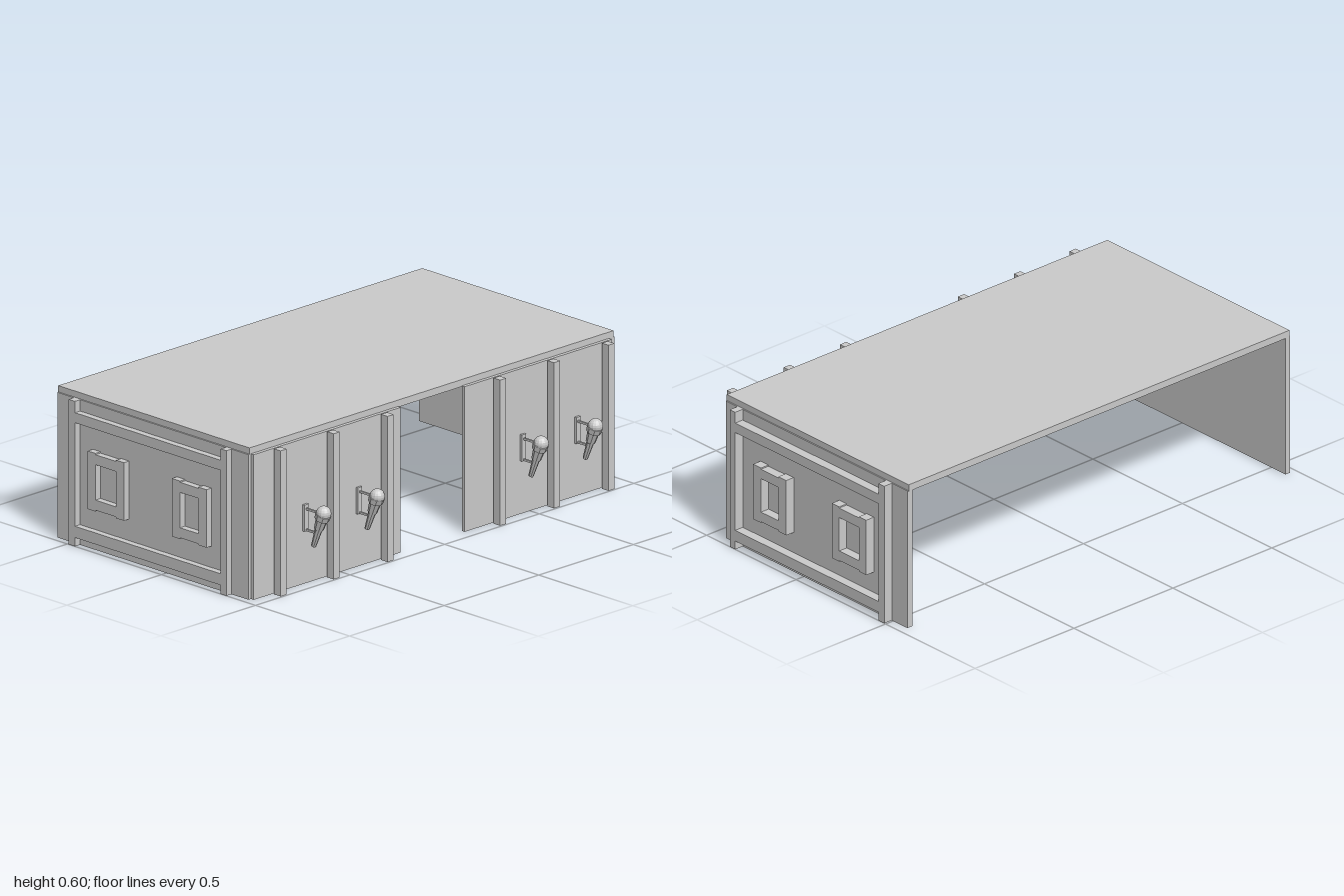
import * as THREE from 'three';

const material = new THREE.MeshStandardMaterial({ color: 0xcccccc, flatShading: true });

// Box given by its min/max extents on each axis
function box(parent, name, x0, x1, y0, y1, z0, z1) {
  const mesh = new THREE.Mesh(new THREE.BoxGeometry(x1 - x0, y1 - y0, z1 - z0), material);
  mesh.name = name;
  mesh.position.set((x0 + x1) / 2, (y0 + y1) / 2, (z0 + z1) / 2);
  parent.add(mesh);
  return mesh;
}

// Rectangular frame built from two uprights and two slightly shorter crossbars
function windowFrame(parent, x0, x1, z0, z1, bar) {
  const frame = new THREE.Group();
  frame.name = 'windowFrame';
  box(frame, 'frameUpright', x0, x1, 0.165, 0.395, z0, z0 + bar);
  box(frame, 'frameUpright', x0, x1, 0.165, 0.395, z1 - bar, z1);
  box(frame, 'frameCrossbar', x0, x1, 0.35, 0.39, z0 + bar, z1 - bar);
  box(frame, 'frameCrossbar', x0, x1, 0.17, 0.21, z0 + bar, z1 - bar);
  parent.add(frame);
}

// End wall with posts, rails and two frames; inner/outer are signed x values
function endWall(name, inner, outer, tip, frontShift) {
  const wall = new THREE.Group();
  wall.name = name;
  const span = (a, b) => [Math.min(a, b), Math.max(a, b)];
  const [w0, w1] = span(inner, outer);
  const [d0, d1] = span(outer, tip);
  box(wall, 'endPanel', w0, w1, 0, 0.575, -0.58, 0.435);
  const front = 0.34 - frontShift;
  box(wall, 'sidePost', d0, d1, 0, 0.575, -0.493, -0.46);
  box(wall, 'sidePost', d0, d1, 0, 0.575, front, front + 0.03);
  for (const [y0, y1] of [[0.035, 0.08], [0.49, 0.53]]) {
    box(wall, 'sideRail', d0, d1, y0, y1, -0.46, front);
  }
  windowFrame(wall, d0, d1, 0.055, 0.24, 0.044);
  windowFrame(wall, d0, d1, -0.392, -0.2, 0.041);
  return wall;
}

// Wall torch leaning outwards, on a small bracket
function torch(x) {
  const group = new THREE.Group();
  group.name = 'torch';
  group.position.x = x;
  box(group, 'bracketPlate', -0.011, 0.011, 0.21, 0.315, 0.445, 0.46);
  for (const [y, z] of [[0.298, 0.545], [0.215, 0.515]]) {
    box(group, 'bracketRod', -0.004, 0.004, y - 0.004, y + 0.004, 0.455, z);
  }

  // Tapered, stepped handle from the lower tip up to the collar
  const bottom = new THREE.Vector3(0, 0.16, 0.497);
  const top = new THREE.Vector3(0, 0.302, 0.551);
  const length = bottom.distanceTo(top);
  const profile = [
    [0, 0], [0.01, 0], [0.015, 0.5], [0.019, 0.52], [0.023, 0.8],
    [0.029, 0.82], [0.031, 0.97], [0.024, 1], [0, 1],
  ].map(([r, t]) => new THREE.Vector2(r, t * length));
  const handle = new THREE.Mesh(new THREE.LatheGeometry(profile, 8), material);
  handle.name = 'torchHandle';
  handle.position.copy(bottom);
  handle.quaternion.setFromUnitVectors(
    new THREE.Vector3(0, 1, 0), top.clone().sub(bottom).normalize());
  group.add(handle);

  const head = new THREE.Mesh(new THREE.SphereGeometry(0.029, 14, 10), material);
  head.name = 'torchHead';
  head.position.copy(top);
  group.add(head);
  return group;
}

// Front panel with its row of upright battens and two torches
function frontPanel(name, x0, x1, battens, torches) {
  const panel = new THREE.Group();
  panel.name = name;
  box(panel, 'frontBoard', x0, x1, 0, 0.575, 0.435, 0.45);
  for (const x of battens) box(panel, 'batten', x - 0.016, x + 0.016, 0, 0.577, 0.459, 0.494);
  for (const x of torches) panel.add(torch(x));
  return panel;
}

export function createModel() {
  const model = new THREE.Group();
  model.name = 'counter';

  box(model, 'tabletop', -0.967, 0.957, 0.572, 0.6, -0.582, 0.435);
  model.add(endWall('leftEnd', 0.937, 0.962, 1.0, 0));
  model.add(endWall('rightEnd', -0.95, -0.973, -1.0, 0.025));
  model.add(frontPanel('rightFront', -0.96, -0.183, [-0.845, -0.565, -0.28], [-0.69, -0.407]));
  model.add(frontPanel('leftFront', 0.155, 0.932, [0.315, 0.6, 0.887], [0.459, 0.746]));
  return model;
}
